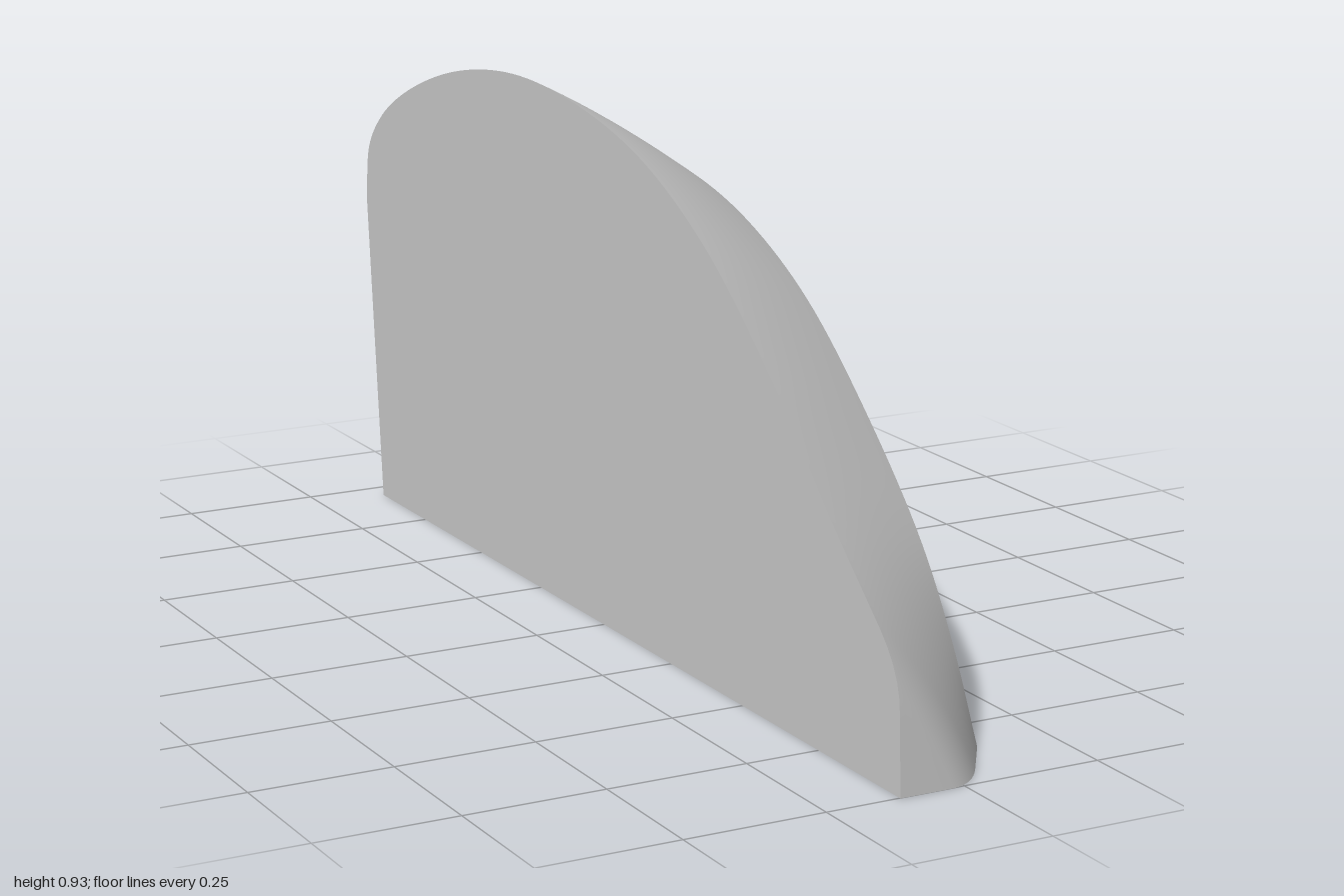
import * as THREE from 'three';

// matching outline points [z, y], front to back, on the tall side and the low side
const TALL = [[1.2, 0], [0.985, 0.21], [0.784, 0.39], [0.57, 0.595], [0.36, 0.755], [0.14, 0.86], [-0.1, 0.915],
  [-0.35, 0.93], [-0.6, 0.895], [-0.82, 0.82], [-0.93, 0.755], [-0.985, 0.69], [-1, 0.59]];
const LOW = [[0.855, 0], [0.78, 0.145], [0.677, 0.295], [0.5, 0.47], [0.3, 0.625], [0.1, 0.72], [-0.1, 0.77],
  [-0.35, 0.787], [-0.6, 0.757], [-0.82, 0.68], [-0.93, 0.58], [-0.985, 0.475], [-0.998, 0.42]];
const X0 = -0.118, X1 = 0.116, SECTIONS = 24, STEPS = 96;

const curve = (pts) => new THREE.CatmullRomCurve3(pts.map(([z, y]) => new THREE.Vector3(0, y, z)), false, 'centripetal');

// rounded minimum, used to blunt the nose
function softMin(a, b, k) {
  const h = Math.max(k - Math.abs(a - b), 0) / k;
  return Math.min(a, b) - h * h * k * 0.25;
}

// surface through rows of points
function surface(rows, flat = false) {
  const n = rows[0].length, index = [];
  for (let i = 0; i < rows.length - 1; i++) {
    for (let j = 0; j < n - 1; j++) {
      const a = i * n + j, b = a + n;
      index.push(a, b, a + 1, b, b + 1, a + 1);
    }
  }
  let geo = new THREE.BufferGeometry().setFromPoints(rows.flat());
  geo.setIndex(index);
  if (flat) geo = geo.toNonIndexed();
  geo.computeVertexNormals();
  return geo;
}

export function createModel() {
  const group = new THREE.Group();
  const material = new THREE.MeshStandardMaterial({ color: 0xcccccc });
  const add = (name, geo) => {
    const mesh = new THREE.Mesh(geo, material);
    mesh.name = name;
    group.add(mesh);
  };

  // cross-sections blended from the tall side to the low side
  const tall = curve(TALL).getPoints(STEPS), low = curve(LOW).getPoints(STEPS);
  const sections = [];
  for (let i = 0; i <= SECTIONS; i++) {
    const t = i / SECTIONS, x = X0 + (X1 - X0) * t;
    const row = tall.map((p, j) => {
      const q = p.clone().lerp(low[j], t);
      q.x = x;
      q.y *= 1 + 0.03 * t * (1 - t);
      q.z = softMin(q.z, 1.002 - 0.04 * q.y, 0.06);
      return q;
    });
    sections.push(row);
  }
  add('curvedRim', surface(sections));

  // straight back wall below the curve
  const backFoot = (row) => new THREE.Vector3(row[0].x, 0, -0.945);
  add('backWall', surface(sections.map((row) => [row[STEPS], backFoot(row)])));

  // flat base
  add('base', surface(sections.map((row) => [backFoot(row), row[0]])));

  // flat side faces, fanned from the middle of the base
  const outline = (row) => [...row, backFoot(row)];
  const centre = (row) => outline(row).map((p) => new THREE.Vector3(p.x, 0, 0));
  const first = sections[0], last = sections[SECTIONS];
  add('tallSide', surface([centre(first), outline(first)], true));
  add('lowSide', surface([outline(last), centre(last)], true));
  return group;
}
